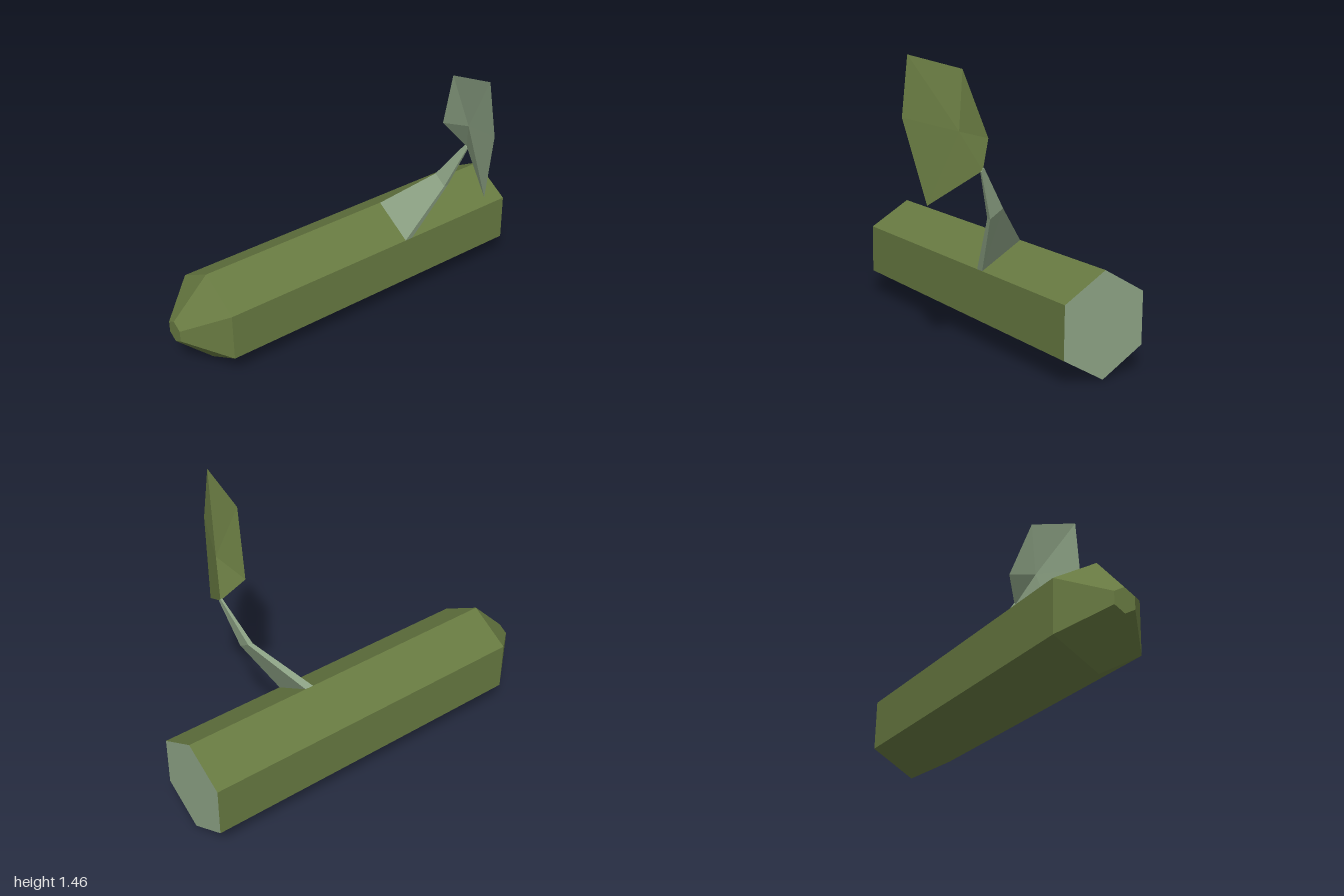
import * as THREE from 'three';

// Flat-shaded geometry from a list of triangles, each made of three [x, y, z] points
function fromTriangles(tris) {
  const g = new THREE.BufferGeometry();
  g.setAttribute('position', new THREE.Float32BufferAttribute(tris.flat(2), 3));
  g.computeVertexNormals();
  return g;
}

function flat(geometry) {
  const g = geometry.toNonIndexed();
  g.computeVertexNormals();
  return g;
}

export function createModel() {
  const bark = new THREE.MeshStandardMaterial({ color: 0x677941 });
  bark.name = 'olive green';
  const pale = new THREE.MeshStandardMaterial({ color: 0x8ea486 });
  pale.name = 'pale green';

  const model = new THREE.Group();
  model.name = 'sproutingStalk';
  const add = (parent, name, geometry, material) => {
    const mesh = new THREE.Mesh(geometry, material);
    mesh.name = name;
    parent.add(mesh);
    return mesh;
  };

  // Six-sided stalk along z, with a tapered nose and a pale cut end
  const R = 0.257, TIP = 0.06;
  const stalk = new THREE.Group();
  stalk.name = 'stalk';
  stalk.position.set(-0.244, R, 0);
  model.add(stalk);
  const tube = (front, back, length) =>
    flat(new THREE.CylinderGeometry(front, back, length, 6, 1, true).rotateX(Math.PI / 2));
  const hexagon = (r) => new THREE.CircleGeometry(r, 6, Math.PI / 2);
  add(stalk, 'shaft', tube(R, R, 1.8), bark).position.z = -0.1;
  add(stalk, 'nose', tube(TIP, R, 0.2), bark).position.z = 0.9;
  add(stalk, 'noseTip', hexagon(TIP), bark).position.z = 1;
  add(stalk, 'cutEnd', hexagon(R).rotateY(Math.PI), pale).position.z = -1;

  // Bent four-sided stem: each section runs front left, front right, back right, back left
  const sections = [
    [[-0.244, 0.513, -0.29], [-0.022, 0.385, -0.29], [-0.022, 0.385, -0.335], [-0.244, 0.513, -0.335]],
    [[-0.022, 0.73, -0.485], [0.05, 0.685, -0.485], [0.05, 0.685, -0.51], [-0.022, 0.73, -0.51]],
    [[0.12, 0.943, -0.553], [0.135, 0.925, -0.553], [0.135, 0.925, -0.563], [0.12, 0.943, -0.563]],
  ];
  const stemTris = [];
  for (let s = 0; s < 2; s++) {
    for (let i = 0; i < 4; i++) {
      const j = (i + 1) % 4, lo = sections[s], hi = sections[s + 1];
      stemTris.push([lo[i], lo[j], hi[j]], [lo[i], hi[j], hi[i]]);
    }
  }
  const [a, b, c, d] = sections[2];
  stemTris.push([a, b, c], [a, c, d]);
  add(model, 'stem', fromTriangles(stemTris), pale);

  // Folded leaf, thickest at the midrib: a pale fan in front and an olive fan behind
  const rim = [
    [0.125, 0.93, -0.56], [0.366, 0.777, -0.47], [0.464, 1.18, -0.417],
    [0.427, 1.458, -0.403], [0.15, 1.382, -0.423], [0.037, 1.06, -0.47],
  ];
  const fan = (rib) => rim.map((p, i) => [rib, p, rim[(i + 1) % rim.length]]);
  const leaf = new THREE.Group();
  leaf.name = 'leaf';
  model.add(leaf);
  add(leaf, 'leafFront', fromTriangles(fan([0.212, 1.11, -0.483])), pale);
  const back = fan([0.222, 1.11, -0.511]).map(([p, q, r]) => [p, r, q]);
  add(leaf, 'leafBack', fromTriangles(back), bark);

  return model;
}
